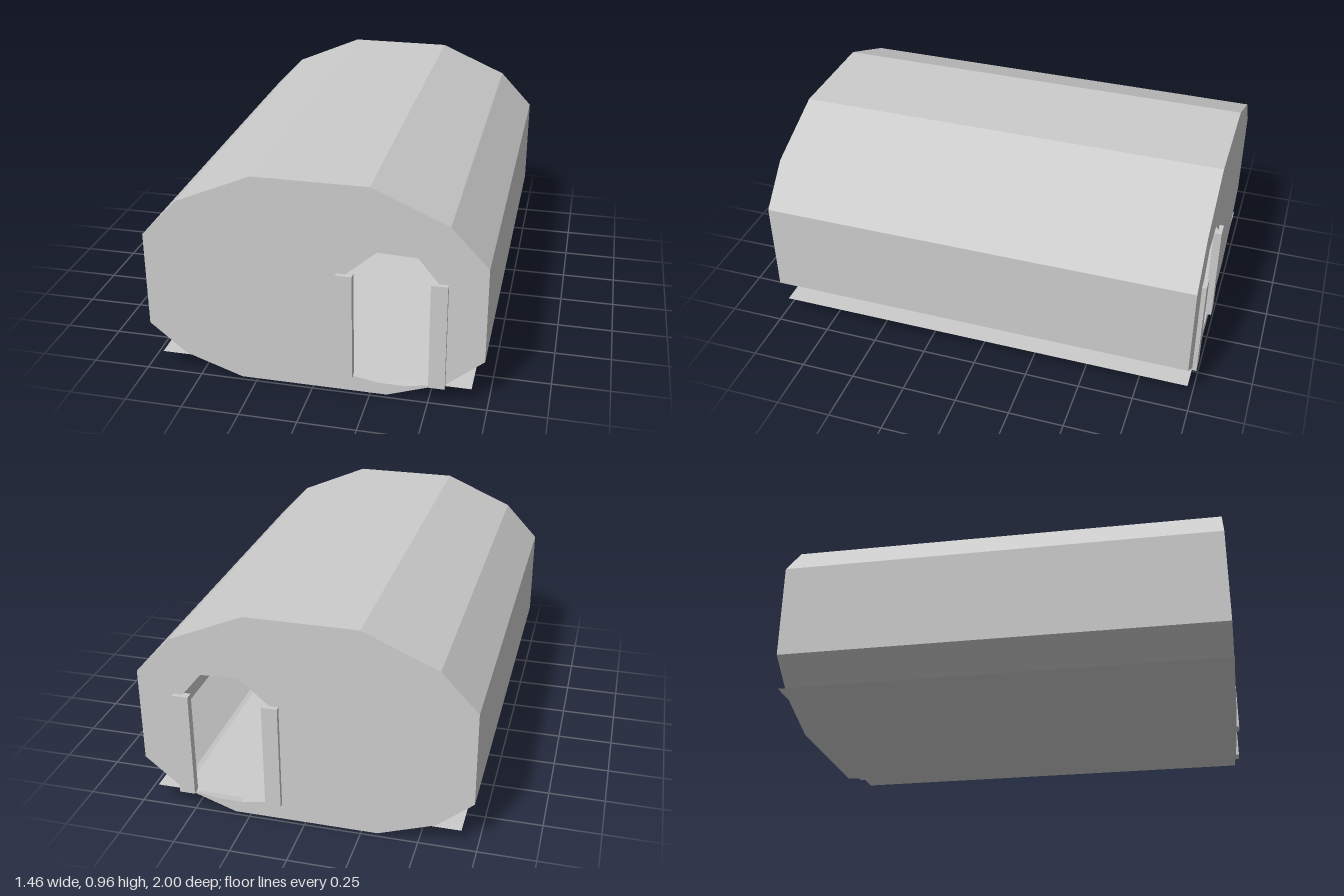
import * as THREE from 'three';

const HALF_LENGTH = 0.98;

export function createModel() {
  const group = new THREE.Group();
  const material = new THREE.MeshStandardMaterial({
    color: 0xcccccc, flatShading: true, side: THREE.DoubleSide,
  });
  const add = (name, geometry, x = 0, y = 0, z = 0) => {
    const mesh = new THREE.Mesh(geometry, material);
    mesh.name = name;
    mesh.position.set(x, y, z);
    group.add(mesh);
    return mesh;
  };

  // Right half of the tunnel section, mirrored to a counter-clockwise loop
  const half = [[0.32, 0], [0.57, 0.087], [0.73, 0.22], [0.73, 0.648], [0.57, 0.818], [0.245, 0.958]];
  const section = [...half, ...half.map(([x, y]) => [-x, y]).reverse()];

  // Thin shell running the length of the tunnel
  const positions = [];
  section.forEach(([ax, ay], i) => {
    const [bx, by] = section[(i + 1) % section.length];
    const L = HALF_LENGTH;
    positions.push(ax, ay, L, ax, ay, -L, bx, by, -L);
    positions.push(ax, ay, L, bx, by, -L, bx, by, L);
  });
  const shell = new THREE.BufferGeometry();
  shell.setAttribute('position', new THREE.Float32BufferAttribute(positions, 3));
  shell.computeVertexNormals();
  add('tunnelShell', shell);

  // End walls with an arched doorway
  const toPoints = (list) => list.map(([x, y]) => new THREE.Vector2(x, y));
  const wall = new THREE.Shape(toPoints(section));
  wall.holes.push(new THREE.Path(toPoints([
    [0.145, 0.08], [0.28, 0.055], [0.4, 0.055], [0.53, 0.078],
    [0.53, 0.56], [0.443, 0.667], [0.275, 0.674], [0.145, 0.56],
  ])));
  const wallGeometry = new THREE.ShapeGeometry(wall);

  // Door posts stand slightly proud of each wall
  const postGeometry = new THREE.BoxGeometry(0.07, 0.485, 0.036);
  for (const [end, side] of [['front', 1], ['back', -1]]) {
    const endWall = add(`${end}Wall`, wallGeometry, 0, 0, side * HALF_LENGTH);
    if (side < 0) {
      // Turn the rear wall outward while keeping the doorway on the same side
      endWall.geometry = wallGeometry.clone().scale(-1, 1, 1);
      const index = endWall.geometry.index;
      for (let i = 0; i < index.count; i += 3) {
        const a = index.getX(i);
        index.setX(i, index.getX(i + 2));
        index.setX(i + 2, a);
      }
      endWall.geometry.computeVertexNormals();
      endWall.rotation.y = Math.PI;
    }
    add(`${end}InnerPost`, postGeometry, 0.14, 0.3175, side * 0.982);
    add(`${end}OuterPost`, postGeometry, 0.535, 0.3175, side * 0.982);
  }

  // Flat floor sheet, its long edges poking out through the lower shell
  add('floor', new THREE.PlaneGeometry(1.36, 2 * HALF_LENGTH).rotateX(-Math.PI / 2), 0, 0.08, 0);

  return group;
}
